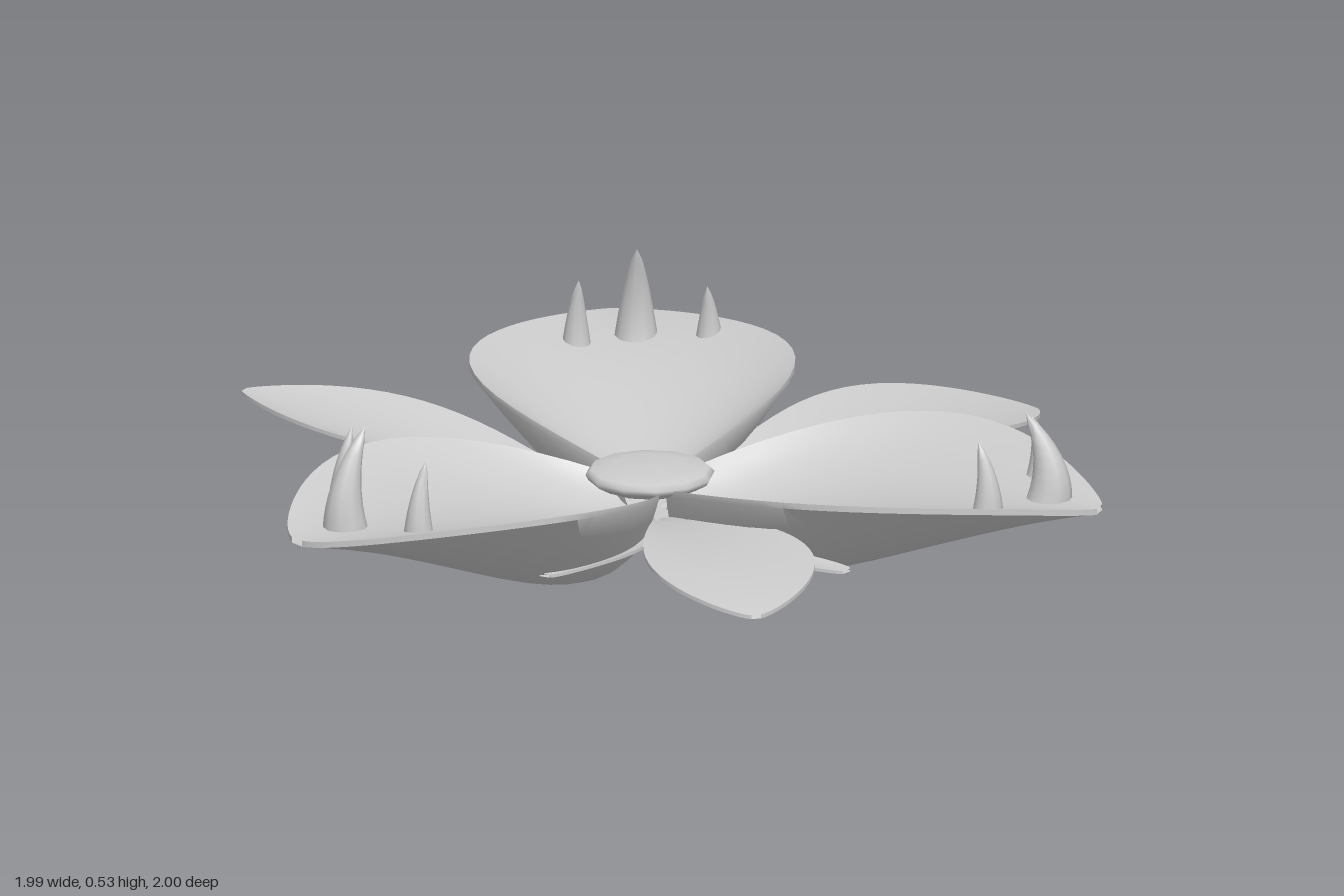
import * as THREE from 'three';
import { toCreasedNormals } from 'three/addons/utils/BufferGeometryUtils.js';

const material = new THREE.MeshStandardMaterial({ color: 0xcccccc, side: THREE.DoubleSide });
const CENTRE = { x: -0.06, z: 0.13 };

// Skin a list of equal closed loops of points.
function loft(rings, crease) {
  const n = rings[0].length, index = [];
  for (let i = 0; i < rings.length - 1; i++) {
    for (let j = 0; j < n; j++) {
      const k = (j + 1) % n, a = i * n, b = a + n;
      index.push(a + j, b + j, a + k, a + k, b + j, b + k);
    }
  }
  const geometry = new THREE.BufferGeometry();
  geometry.setAttribute('position', new THREE.Float32BufferAttribute(rings.flat(2), 3));
  geometry.setIndex(index);
  return toCreasedNormals(geometry, crease);
}

function add(parent, name, geometry) {
  const mesh = new THREE.Mesh(geometry, material);
  mesh.name = name;
  parent.add(mesh);
  return mesh;
}

// Hump from 0 to 1 and back: a larger shift moves the peak outward, a smaller power fills it out.
const bell = (u, shift, power) => Math.max(0, Math.sin(Math.PI * u ** shift)) ** power;

// A cupped blade growing from the flower's centre to a tip.
// left and right are [width, fullness] of the two sides seen looking outward.
function blade({ tip, left, right, shift = 1, base, end, arch, depth, deepest = 1, inner = 1, thickness = 0.01, bow = 0, blunt = 0.012 }) {
  const dx = tip[0] - CENTRE.x, dz = tip[1] - CENTRE.z, length = Math.hypot(dx, dz);
  const steps = 26, across = 14, rings = [];
  for (let i = 0; i <= steps; i++) {
    const u = 0.06 + 0.94 * Math.sin(Math.PI / 2 * i / steps);
    const width = ([w, fullness]) => w * bell(u, shift, fullness) + blunt * u;
    const l = width(left), r = width(right), drift = bow * Math.sin(Math.PI * u);
    const rim = base + (end - base) * u + 4 * arch * u * (1 - u);
    const sag = depth * bell(u, deepest, 1);
    const point = (v, share, drop) => {
      const side = l - (l + r) * v + drift;
      return [
        CENTRE.x + dx * u + dz / length * side,
        rim - drop - sag * share * (1 - (2 * v - 1) ** 2),
        CENTRE.z + dz * u - dx / length * side,
      ];
    };
    const under = [], upper = [];
    for (let j = 0; j <= across; j++) {
      under.push(point(j / across, 1, thickness));
      upper.push(point(1 - j / across, inner, 0));
    }
    rings.push([...under, ...upper]);
  }
  return loft(rings, 0.7);
}

// A curved thorn bowing outward, its point leaning to the flower's middle.
function tooth(x, z, top, radius, lean) {
  const base = 0.27, length = Math.hypot(x - CENTRE.x, z - CENTRE.z);
  const dx = (CENTRE.x - x) / length, dz = (CENTRE.z - z) / length;
  const rings = [];
  for (let i = 0; i <= 8; i++) {
    const t = i / 8, r = radius * (1 - t) ** 0.7, bend = lean * (1.7 * t * t - 0.7 * t);
    rings.push(Array.from({ length: 10 }, (_, j) => {
      const a = j / 10 * Math.PI * 2;
      return [x + dx * bend + r * Math.cos(a), base + (top - base) * t, z + dz * bend + r * Math.sin(a)];
    }));
  }
  return loft(rings, 1);
}

export function createModel() {
  const flower = new THREE.Group();
  flower.name = 'toothedFlower';

  // Three boat-shaped petals, each with one large tooth and two small ones
  const petals = [
    {
      name: 'backPetal', tip: [-0.03, -1], left: [0.385, 1], right: [0.385, 1], end: 0.295, arch: 0.095,
      teeth: [[0, -0.79, 0.53], [-0.15, -0.74, 0.46], [0.17, -0.72, 0.44]],
    },
    {
      name: 'leftPetal', tip: [0.985, 0.6], left: [0.43, 0.85], right: [0.345, 0.85], end: 0.265, arch: 0.085,
      teeth: [[0.87, 0.53, 0.48], [0.87, 0.35, 0.42], [0.71, 0.63, 0.445]],
    },
    {
      name: 'rightPetal', tip: [-0.975, 0.69], left: [0.4, 0.72], right: [0.335, 0.72], end: 0.275, arch: 0.1,
      teeth: [[-0.85, 0.62, 0.525], [-0.84, 0.46, 0.48], [-0.68, 0.7, 0.46]],
    },
  ];
  for (const { name, teeth, ...shape } of petals) {
    const group = new THREE.Group();
    group.name = name;
    add(group, name + 'Shell', blade({
      ...shape, base: 0.2, depth: 0.265, deepest: 0.6, inner: 0.45, thickness: 0.015, blunt: 0.02,
    }));
    teeth.forEach(([x, z, top], i) => {
      add(group, i ? 'smallTooth' : 'largeTooth', tooth(x, z, top, i ? 0.038 : 0.056, i ? 0.025 : 0.06));
    });
    flower.add(group);
  }

  // Thin outer leaves showing between the petals
  const leaves = [
    { name: 'frontLeaf', tip: [0.11, 1], left: [0.21, 0.75], right: [0.18, 0.75], shift: 1.9, end: 0.145, arch: 0.085 },
    { name: 'leftLeaf', tip: [0.94, -0.52], left: [0.25, 0.6], right: [0.2, 0.75], shift: 2, end: 0.165, arch: 0.09 },
    { name: 'rightLeaf', tip: [-0.99, -0.43], left: [0.16, 0.85], right: [0.18, 0.85], shift: 1.6, end: 0.3, arch: 0.04 },
  ];
  for (const { name, ...shape } of leaves) {
    add(flower, name, blade({ ...shape, base: 0.115, depth: 0.035 }));
  }

  // Narrow curling sepals underneath, a pair beside each leaf
  const tips = [[0.68, -0.02], [0.25, -0.6], [-0.45, -0.45], [-0.62, 0.02], [-0.36, 0.56], [0.37, 0.6]];
  tips.forEach((tip, i) => {
    add(flower, 'sepal', blade({
      tip, left: [0.045, 0.5], right: [0.045, 0.5], base: 0.11, end: 0.125, arch: 0.02, depth: 0.01,
      thickness: 0.008, bow: i % 2 ? -0.07 : 0.07,
    }));
  });

  // Low domed centre and the small plate carrying the leaves
  const profile = [[0, 0.205], [0.12, 0.205], [0.15, 0.222], [0.157, 0.235], [0.145, 0.248], [0.09, 0.257], [0, 0.26]];
  const dome = new THREE.LatheGeometry(profile.map(([r, y]) => new THREE.Vector2(r, y)), 12);
  add(flower, 'centreDisc', dome).position.set(CENTRE.x, 0, CENTRE.z);
  add(flower, 'basePlate', new THREE.CylinderGeometry(0.1, 0.1, 0.015, 12)).position.set(CENTRE.x, 0.112, CENTRE.z);

  return flower;
}
